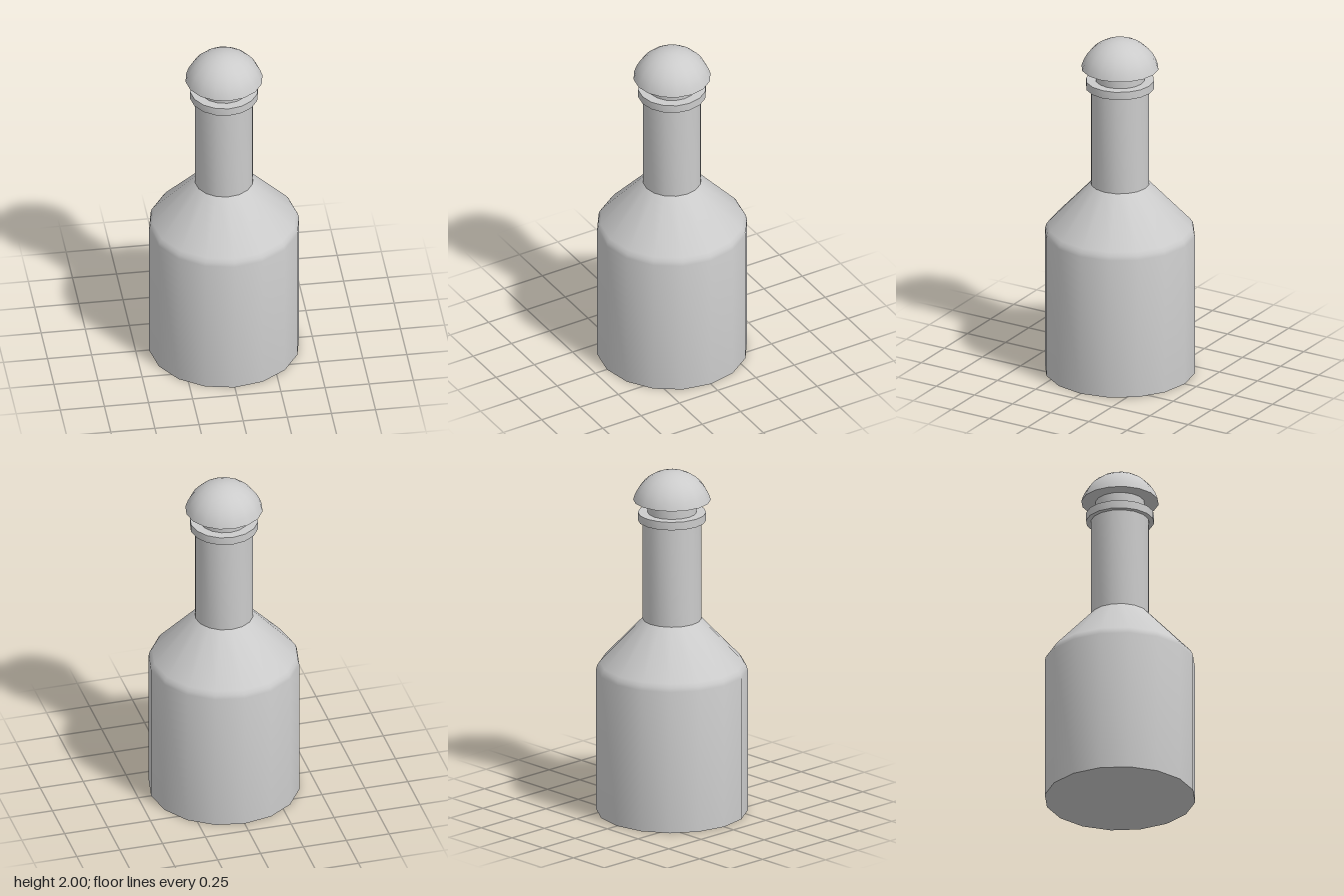
import * as THREE from 'three';
import { toCreasedNormals } from 'three/addons/utils/BufferGeometryUtils.js';

const SIDES = 16;
const CREASE = 0.6; // keeps rims sharp, sides smooth

export function createModel() {
  const model = new THREE.Group();
  model.name = 'bottle';
  const material = new THREE.MeshStandardMaterial({ color: 0xcccccc });

  // Turns a bottom-to-top [radius, height] profile into a named mesh
  function turned(name, profile) {
    const points = profile.map(([r, y]) => new THREE.Vector2(r, y));
    const geometry = toCreasedNormals(new THREE.LatheGeometry(points, SIDES), CREASE);
    const mesh = new THREE.Mesh(geometry, material);
    mesh.name = name;
    model.add(mesh);
  }

  // Body with a softened shoulder
  turned('body', [[0, 0], [0.425, 0], [0.425, 0.83], [0.419, 0.853], [0.405, 0.873], [0.165, 1.13]]);

  // Neck and the lip ring around its mouth
  turned('neck', [[0.165, 1.13], [0.165, 1.71]]);
  turned('lip', [[0.165, 1.71], [0.192, 1.71], [0.192, 1.757], [0, 1.757]]);

  // Stopper stem
  turned('stopperStem', [[0.138, 1.757], [0.138, 1.83]]);

  // Stopper cap: a slice of a sphere with a flat underside
  const radius = 0.225, centre = 2 - radius, rim = Math.acos((1.83 - centre) / radius);
  const cap = [[0, 1.83]];
  const steps = 8;
  for (let i = steps; i >= 0; i--) {
    const a = (rim * i) / steps;
    cap.push([radius * Math.sin(a), centre + radius * Math.cos(a)]);
  }
  turned('stopperCap', cap);

  return model;
}
